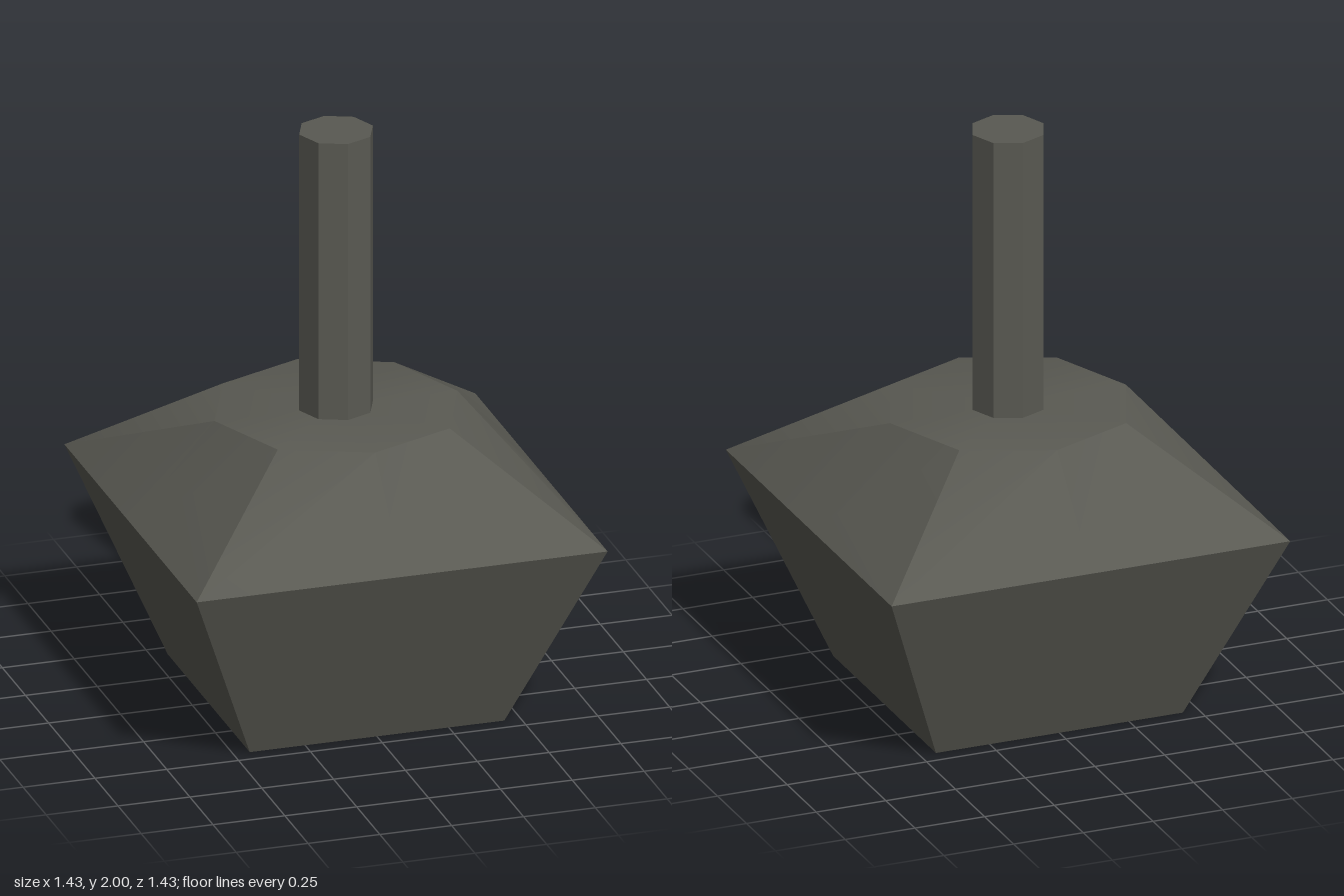
import * as THREE from 'three';
import { toCreasedNormals } from 'three/addons/utils/BufferGeometryUtils.js';

const CREASE = 0.55;

// Eight-sided body: octagonal shoulder on top, squared-off rings below
function bodyGeometry() {
  const geo = new THREE.CylinderGeometry(1, 1, 2, 8, 2);
  const rings = [
    { y: 0, size: 0.443, square: true },
    { y: 0.68, size: 0.715, square: true },
    { y: 1.01, size: 0.423, square: false },
  ];
  const pos = geo.attributes.position;
  for (let i = 0; i < pos.count; i++) {
    const ring = rings[Math.round(pos.getY(i)) + 1];
    const x = pos.getX(i), z = pos.getZ(i);
    const reach = Math.max(Math.abs(x), Math.abs(z));
    const s = ring.square && reach > 0.01 ? ring.size / reach : ring.size;
    pos.setXYZ(i, x * s, ring.y, z * s);
  }
  return toCreasedNormals(geo, CREASE);
}

export function createModel() {
  const group = new THREE.Group();
  const darkGrey = new THREE.MeshStandardMaterial({ color: 0x595952 });
  darkGrey.name = 'darkGrey';

  const body = new THREE.Mesh(bodyGeometry(), darkGrey);
  body.name = 'body';
  group.add(body);

  // Octagonal stem standing on the shoulder
  const stem = new THREE.Mesh(
    toCreasedNormals(new THREE.CylinderGeometry(0.128, 0.128, 0.99, 8), CREASE),
    darkGrey
  );
  stem.name = 'stem';
  stem.position.y = 1.505;
  group.add(stem);

  return group;
}
